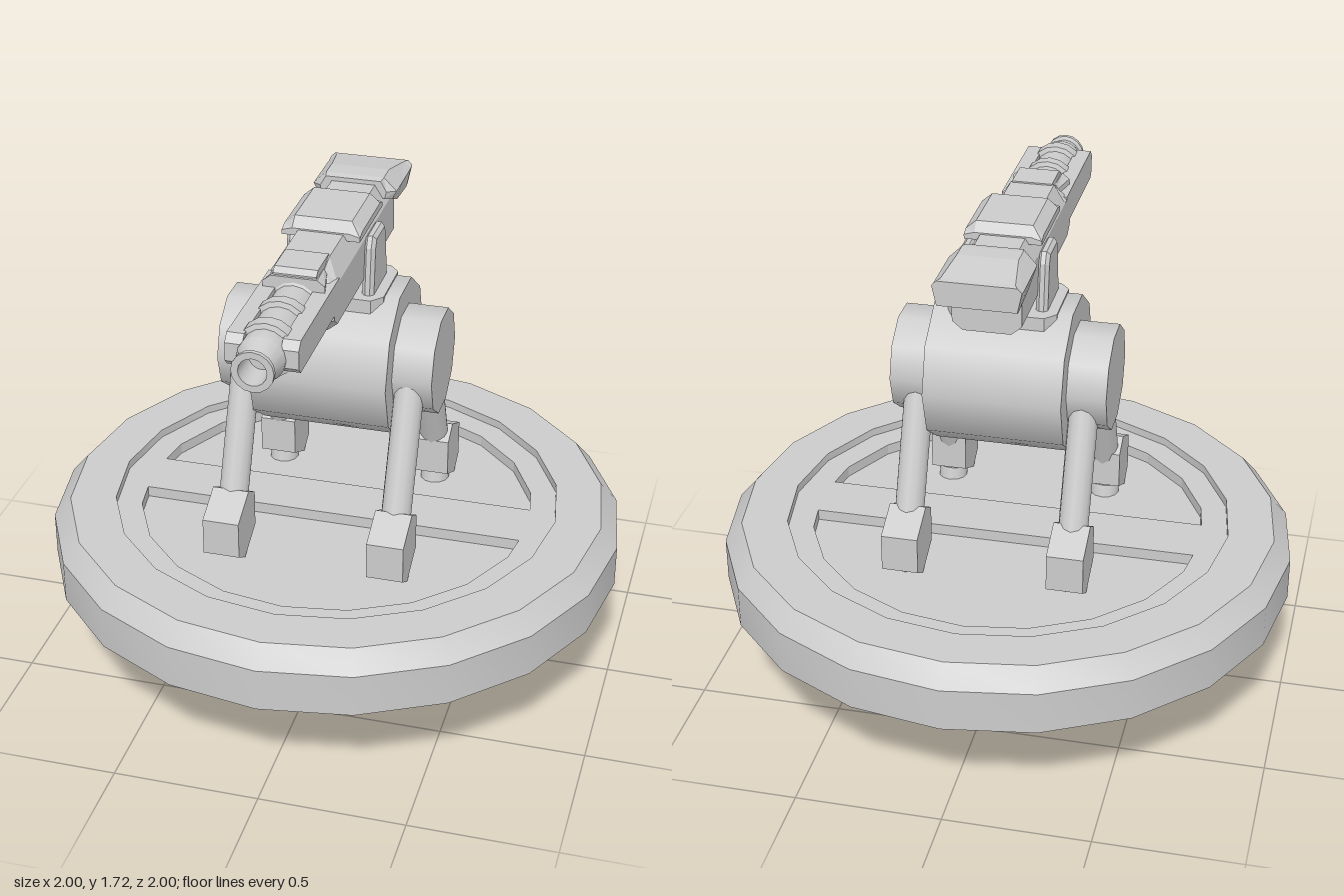
import * as THREE from 'three';
import { toCreasedNormals } from 'three/addons/utils/BufferGeometryUtils.js';

const solid = new THREE.MeshStandardMaterial({ color: 0xcccccc });
const flat = new THREE.MeshStandardMaterial({ color: 0xcccccc, flatShading: true });
const open = new THREE.MeshStandardMaterial({ color: 0xcccccc, side: THREE.DoubleSide });

const V = (x, y, z) => new THREE.Vector3(x, y, z);
const P = (pts) => pts.map(([x, y]) => new THREE.Vector2(x, y));

export function createModel() {
  const model = new THREE.Group();
  const add = (name, geo, mat = solid) => {
    const mesh = new THREE.Mesh(geo, mat);
    mesh.name = name;
    model.add(mesh);
    return mesh;
  };

  // Cylinder lying along x
  const drum = (r, length, x, y) =>
    new THREE.CylinderGeometry(r, r, length, 10).rotateZ(Math.PI / 2).translate(x, y, 0);

  // Round rod between two points
  const rod = (name, a, b, r) => {
    const d = b.clone().sub(a);
    const mesh = add(name, new THREE.CylinderGeometry(r, r, d.length(), 12));
    mesh.position.copy(a).add(b).multiplyScalar(0.5);
    mesh.quaternion.setFromUnitVectors(V(0, 1, 0), d.normalize());
  };

  // (z, y) outline extruded along x, centred on x
  const sideProfile = (pts, width, x, bevel = 0) =>
    new THREE.ExtrudeGeometry(new THREE.Shape(P(pts)), {
      depth: width - 2 * bevel, bevelEnabled: bevel > 0, bevelSize: bevel,
      bevelThickness: bevel, bevelOffset: -bevel, bevelSegments: 1,
    }).translate(0, 0, -width / 2 + bevel).rotateY(-Math.PI / 2).translate(x, 0, 0);

  // Loft along z through mirrored half outlines (top to bottom), lowest z first
  const loft = (sections) => {
    const rings = sections.map(([z, half]) => [
      ...half.map(([x, y]) => [x, y, z]),
      ...half.slice().reverse().map(([x, y]) => [-x, y, z]),
    ]);
    const n = rings[0].length, pos = [];
    const tri = (...c) => c.forEach((p) => pos.push(...p));
    for (let k = 0; k + 1 < rings.length; k++) {
      for (let i = 0; i < n; i++) {
        const j = (i + 1) % n, a = rings[k], b = rings[k + 1];
        tri(a[i], b[i], b[j]);
        tri(a[i], b[j], a[j]);
      }
    }
    const first = rings[0], last = rings[rings.length - 1];
    for (let i = 1; i + 1 < n; i++) {
      tri(first[0], first[i], first[i + 1]);
      tri(last[0], last[i + 1], last[i]);
    }
    const geo = new THREE.BufferGeometry();
    geo.setAttribute('position', new THREE.Float32BufferAttribute(pos, 3));
    geo.computeVertexNormals();
    return geo;
  };

  // Hollow base: outer wall, bevel, top ring and inner wall
  const rim = new THREE.LatheGeometry(
    P([[1, 0.38], [1, 0.53], [0.94, 0.6], [0.78, 0.6], [0.78, 0.38]]), 20);
  add('baseRim', toCreasedNormals(rim, 0.35), open);

  // Recessed floor with a central bar between two deeper half-round pans
  const ring = (r) => Array.from({ length: 20 }, (_, k) =>
    [r * Math.cos(k * Math.PI / 10), r * Math.sin(k * Math.PI / 10)]);
  const halfDisc = (r, cut) => {
    const x = r * 0.988 - cut * 0.08;
    return [[x, cut], ...ring(r).slice(1, 10), [-x, cut]];
  };
  const floor = new THREE.Shape(P(ring(0.78)));
  for (const s of [1, -1])
    floor.holes.push(new THREE.Path(P(halfDisc(0.69, 0.1).map(([x, y]) => [x, s * y]))));
  add('baseFloor', new THREE.ShapeGeometry(floor).rotateX(-Math.PI / 2).translate(0, 0.57, 0), open);
  for (const turn of [0, Math.PI]) {
    const wall = new THREE.Shape(P(halfDisc(0.695, 0.095)));
    wall.holes.push(new THREE.Path(P(halfDisc(0.69, 0.1))));
    add('panWall', new THREE.ExtrudeGeometry(wall, { depth: 0.04, bevelEnabled: false })
      .rotateX(-Math.PI / 2).rotateY(turn).translate(0, 0.529, 0));
    add('panFloor', new THREE.ShapeGeometry(new THREE.Shape(P(halfDisc(0.69, 0.1))))
      .rotateX(-Math.PI / 2).rotateY(turn).translate(0, 0.53, 0), open);
  }

  // Body drum with a hub on each side
  add('bodyDrum', drum(0.27, 0.47, 0, 1.175));
  for (const s of [1, -1]) add('hub', drum(0.182, 0.15, s * 0.295, 1.175));

  // Four legs: upper rod, foot block and lower rod through the base
  const foot = [[0.437, 0.70], [0.315, 0.76], [0.247, 0.72], [0.247, 0.59], [0.37, 0.53], [0.437, 0.57]];
  for (const x of [-0.285, 0.285]) {
    for (const s of [1, -1]) {
      const z = (d) => 0.01 + s * d;
      rod('upperLeg', V(x, 1.18, z(0.1)), V(x, 0.68, z(0.308)), 0.051);
      rod('lowerLeg', V(x, 0.56, z(0.327)), V(x, 0.024, z(0.187)), 0.052);
      const pts = foot.map(([d, y]) => [0.0175 + s * d, y]);
      add('foot', sideProfile(pts, 0.126, x));
    }
  }

  // Turret plate and bracket arms
  const plate = new THREE.Shape(P([[0.185, -0.1], [0.185, 0.1], [0.15, 0.14], [-0.15, 0.14],
    [-0.185, 0.1], [-0.185, -0.1], [-0.15, -0.14], [0.15, -0.14]]));
  add('turretPlate', new THREE.ExtrudeGeometry(plate, { depth: 0.08, bevelEnabled: false })
    .rotateX(-Math.PI / 2).translate(0, 1.358, 0));
  const arm = [[0.107, 1.42], [0.088, 1.6], [0.068, 1.637], [-0.05, 1.637], [-0.072, 1.6], [-0.093, 1.42]];
  for (const s of [1, -1]) add('bracketArm', sideProfile(arm, 0.04, s * 0.13, 0.012));

  // Gun housing
  const housing = [[0.075, 1.695], [0.115, 1.63], [0.115, 1.49], [0.08, 1.46]];
  add('gunHousing', loft([
    [-0.32, housing],
    [0.37, housing],
    [0.42, [[0.07, 1.667], [0.115, 1.63], [0.115, 1.49], [0.08, 1.462]]],
    [0.46, [[0.06, 1.645], [0.115, 1.62], [0.115, 1.52], [0.075, 1.5]]],
  ]), flat);

  // Top hatch
  add('topHatch', loft([
    [-0.09, [[0.095, 1.70], [0.13, 1.69], [0.13, 1.675]]],
    [-0.06, [[0.095, 1.73], [0.13, 1.70], [0.13, 1.675]]],
    [0.17, [[0.095, 1.73], [0.13, 1.70], [0.13, 1.675]]],
    [0.205, [[0.095, 1.70], [0.13, 1.69], [0.13, 1.675]]],
  ]), flat);

  // Rear block overhanging the back
  add('rearBlock', loft([
    [-0.455, [[0.13, 1.69], [0.145, 1.675], [0.13, 1.605]]],
    [-0.435, [[0.12, 1.692], [0.145, 1.67], [0.13, 1.6]]],
    [-0.3, [[0.1, 1.715], [0.145, 1.67], [0.13, 1.61]]],
    [-0.23, [[0.1, 1.715], [0.145, 1.67], [0.13, 1.64]]],
    [-0.205, [[0.095, 1.71], [0.115, 1.675], [0.11, 1.65]]],
  ]), flat);

  // Front sight block and its collar
  add('sightBlock', sideProfile(
    [[0.36, 1.64], [0.36, 1.7], [0.485, 1.7], [0.505, 1.685], [0.505, 1.64]], 0.14, 0));
  add('sightCollar', loft([
    [0.42, [[0.07, 1.675], [0.08, 1.66], [0.08, 1.63]]],
    [0.515, [[0.075, 1.68], [0.1, 1.66], [0.1, 1.64]]],
  ]), flat);

  // Side rails along the barrel
  const rail = [[0.4, 1.535], [0.4, 1.64], [0.835, 1.64], [0.86, 1.615], [0.86, 1.555], [0.84, 1.535]];
  for (const s of [1, -1]) add('barrelRail', sideProfile(rail, 0.055, s * 0.0875));

  // Barrel with cooling rings, flared muzzle and bore
  const barrel = [[0, 0.4], [0.076, 0.4], [0.076, 0.46], [0.092, 0.46], [0.092, 0.51], [0.076, 0.52],
    [0.076, 0.62], [0.092, 0.625], [0.092, 0.665], [0.076, 0.67], [0.076, 0.765], [0.092, 0.77],
    [0.092, 0.815], [0.076, 0.82], [0.076, 0.87], [0.06, 0.91], [0.055, 0.935], [0.067, 0.94],
    [0.067, 0.955], [0.045, 0.955], [0.04, 0.86], [0, 0.86]];
  add('barrel', toCreasedNormals(new THREE.LatheGeometry(P(barrel), 16), 0.5)
    .rotateX(Math.PI / 2).translate(0, 1.58, 0));

  return model;
}
